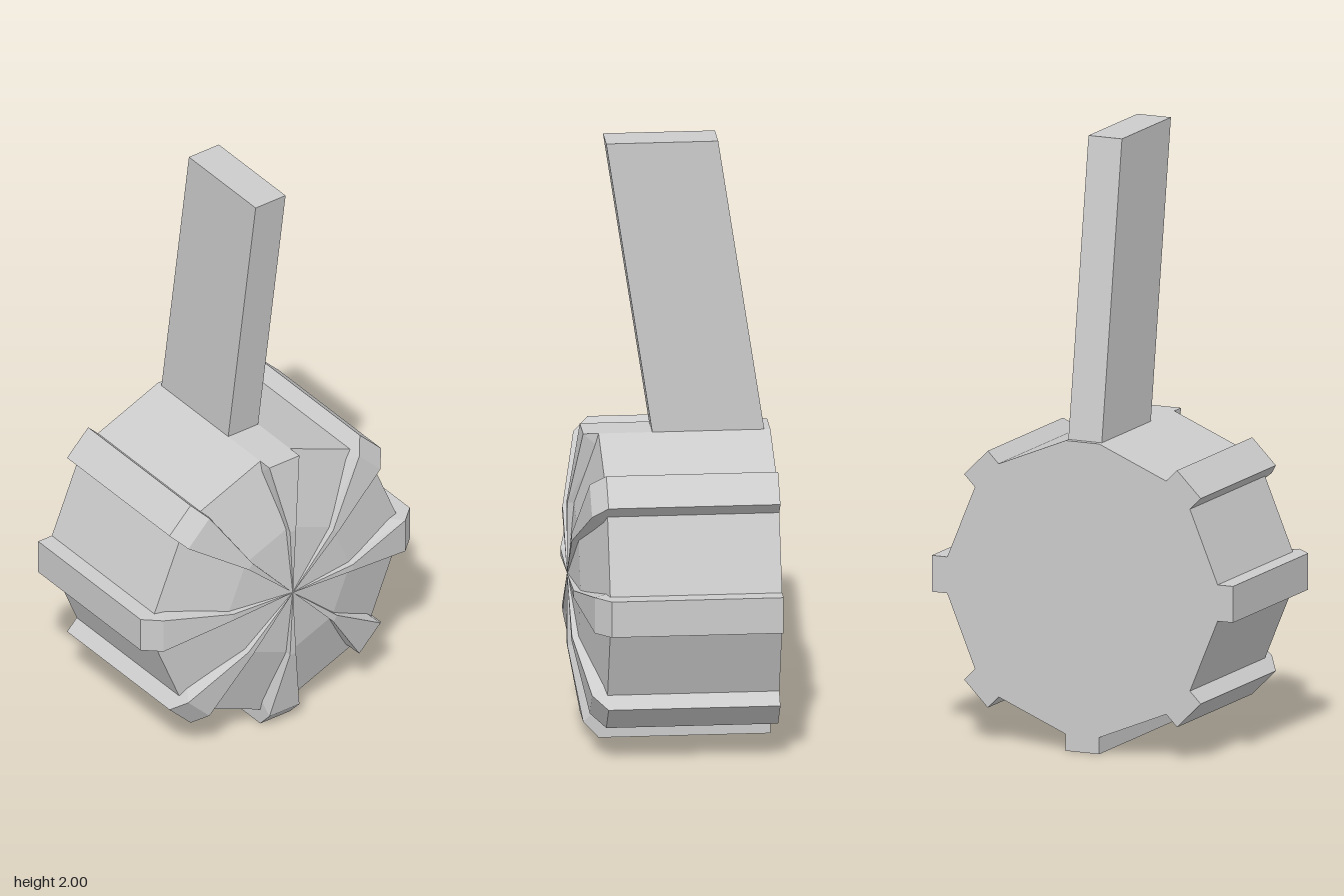
import * as THREE from 'three';

const RIBS = 8, BODY_R = 0.485, RIB_R = 0.54, HALF = 0.06, BACK = -0.327, FRONT = 0.23;

// Skin a series of equal-length rings (counter-clockwise seen from the end) with flat facets and caps
function loft(rings) {
  const pos = [], n = rings[0].length;
  const tri = (a, b, c) => {
    const area = b.clone().sub(a).cross(c.clone().sub(a)).length();
    if (area > 1e-7) pos.push(...a.toArray(), ...b.toArray(), ...c.toArray());
  };
  for (let i = 0; i < rings.length - 1; i++) {
    for (let j = 0; j < n; j++) {
      const k = (j + 1) % n, p = rings[i], q = rings[i + 1];
      tri(p[j], p[k], q[k]);
      tri(p[j], q[k], q[j]);
    }
  }
  const first = rings[0], last = rings[rings.length - 1];
  for (let j = 1; j < n - 1; j++) {
    tri(first[0], first[j + 1], first[j]);
    tri(last[0], last[j], last[j + 1]);
  }
  const g = new THREE.BufferGeometry();
  g.setAttribute('position', new THREE.Float32BufferAttribute(pos, 3));
  g.computeVertexNormals();
  return g;
}

// Drum section: a narrow flat under each rib, wide facets between
function drumRing(x, r, half) {
  const ring = [];
  for (let i = 0; i < RIBS; i++) {
    const a = (i / RIBS) * Math.PI * 2, c = Math.cos(a), s = Math.sin(a);
    for (const w of [-half, half]) ring.push(new THREE.Vector3(x, r * c - w * s, r * s + w * c));
  }
  return ring;
}

// Rib section: outer edge, then inner edge buried in the drum
function ribRing([xo, ro, xi, ri, w]) {
  return [
    new THREE.Vector3(xo, ro, -w), new THREE.Vector3(xo, ro, w),
    new THREE.Vector3(xi, ri, w), new THREE.Vector3(xi, ri, -w),
  ];
}

export function createModel() {
  const model = new THREE.Group();
  model.name = 'drumMagazine';
  const material = new THREE.MeshStandardMaterial({ color: 0xcccccc, flatShading: true });
  const add = (parent, geometry, name) => {
    const mesh = new THREE.Mesh(geometry, material);
    mesh.name = name;
    parent.add(mesh);
    return mesh;
  };

  const drum = new THREE.Group();
  drum.name = 'drum';
  drum.position.y = RIB_R;
  model.add(drum);

  // Faceted body with a shallow domed face
  add(drum, loft([
    drumRing(BACK, BODY_R, HALF), drumRing(FRONT, BODY_R, HALF),
    drumRing(0.305, 0.24, 0.012), drumRing(0.325, 0, 0),
  ]), 'drumBody');

  // Ribs run along the side and taper to the hub; the top one exists only on the face
  const face = [
    [0.28, BODY_R, FRONT, 0.44, HALF],
    [0.327, 0.24, 0.29, 0.24, 0.012],
    [0.327, 0, 0.3, 0, 0],
  ];
  const side = [
    [BACK, RIB_R, BACK, 0.44, HALF],
    [FRONT, RIB_R, FRONT, 0.44, HALF],
  ];
  const topStart = [[FRONT, BODY_R, FRONT, 0.44, HALF]];
  const fullRib = loft([...side, ...face].map(ribRing));
  const topRib = loft([...topStart, ...face].map(ribRing));
  for (let i = 0; i < RIBS; i++) {
    const rib = add(drum, i === 0 ? topRib : fullRib, i === 0 ? 'topFaceRib' : `rib${i}`);
    rib.rotation.x = (i / RIBS) * Math.PI * 2;
  }

  // Slanted feed column rising from the top flat
  const outline = new THREE.Shape([
    new THREE.Vector2(-0.308, 1.02), new THREE.Vector2(0.055, 1.02),
    new THREE.Vector2(0.205, 2), new THREE.Vector2(-0.158, 2),
  ]);
  const column = new THREE.ExtrudeGeometry(outline, { depth: HALF * 2, bevelEnabled: false });
  column.translate(0, 0, -HALF);
  add(model, column, 'feedColumn');

  return model;
}
